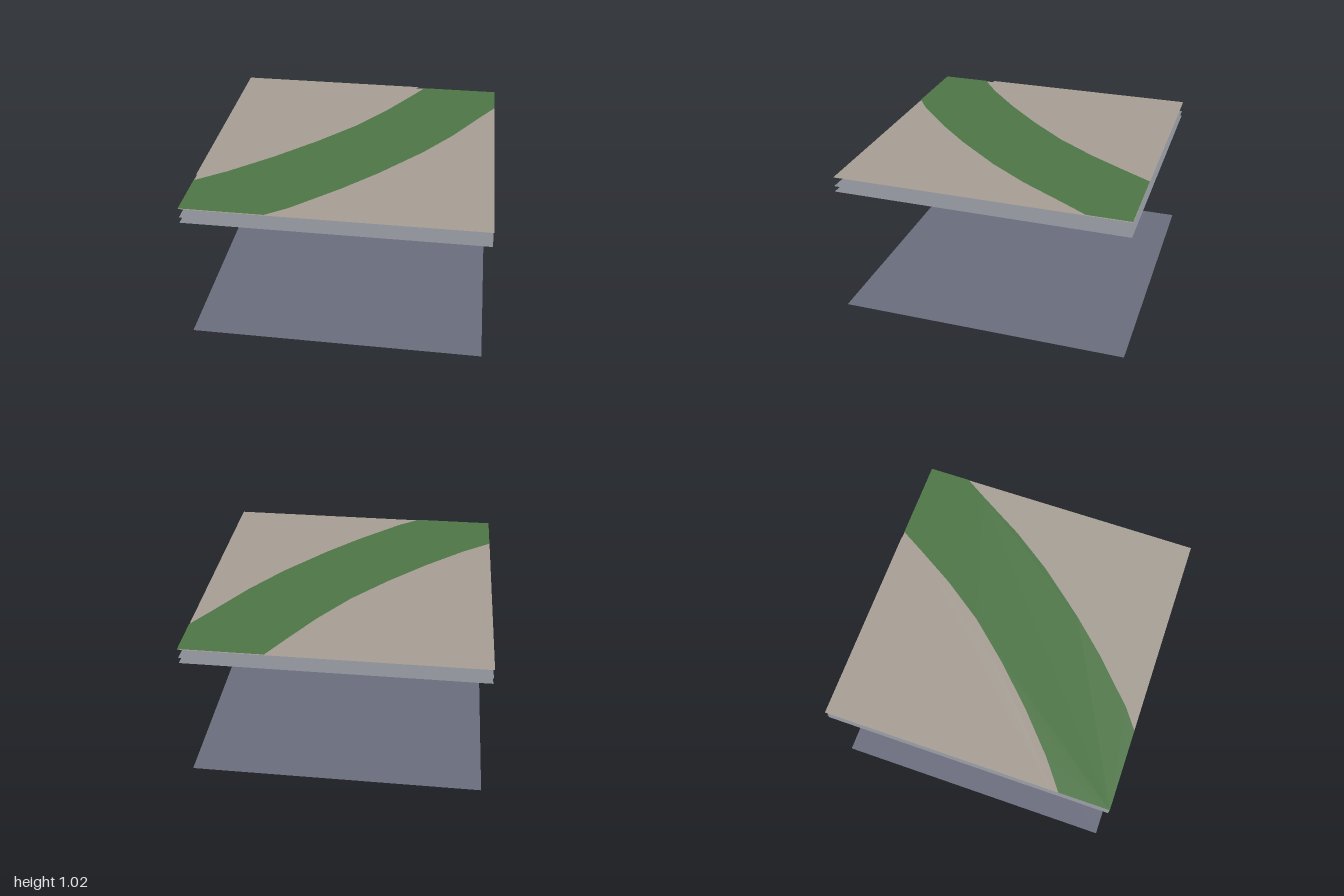
import * as THREE from 'three';

function flatMaterial(name, color) {
  const material = new THREE.MeshStandardMaterial({ color, side: THREE.DoubleSide });
  material.name = name;
  return material;
}

// Horizontal sheet from [x, z] outline points at height y
function sheet(name, points, y, material) {
  const shape = new THREE.Shape(points.map(([x, z]) => new THREE.Vector2(x, -z)));
  const geometry = new THREE.ShapeGeometry(shape).rotateX(-Math.PI / 2);
  const mesh = new THREE.Mesh(geometry, material);
  mesh.name = name;
  mesh.position.y = y;
  return mesh;
}

export function createModel() {
  const slate = flatMaterial('slate', 0x6a6d7d);
  const grey = flatMaterial('grey', 0x8b8e96);
  const sand = flatMaterial('sand', 0xa79f94);
  const green = flatMaterial('green', 0x4d7646);

  const square = [[-1, 1], [1, 1], [1, -1], [-1, -1]];

  // Curved edges of the green band and of the raised ground beside it
  const innerEdge = [[-1, 0.65], [-0.8, 0.5], [-0.53, 0.26], [-0.27, 0], [-0.03, -0.27],
    [0.17, -0.55], [0.34, -0.83], [0.44, -1]];
  const outerEdge = [[1, -0.71], [0.9, -0.55], [0.7, -0.22], [0.5, 0.06], [0.22, 0.39],
    [0, 0.62], [-0.3, 0.9], [-0.44, 1]];
  const raisedEdge = [[-1, 0.59], [-0.8, 0.43], [-0.57, 0.23], [-0.35, 0.02], [-0.17, -0.19],
    [0, -0.4], [0.2, -0.68], [0.39, -1]];

  const model = new THREE.Group();
  model.name = 'layeredGround';
  model.add(
    // Stacked square layers
    sheet('bottomLayer', square, 0, slate),
    sheet('lowerMiddleLayer', square, 0.905, grey),
    sheet('upperMiddleLayer', square, 0.945, grey),
    sheet('groundLayer', square, 1.01, sand),
    // Surface cover
    sheet('greenBand', [...innerEdge, [1, -1], ...outerEdge, [-1, 1]], 1.015, green),
    sheet('raisedGround', [...raisedEdge, [-1, -1]], 1.021, sand),
  );
  return model;
}
